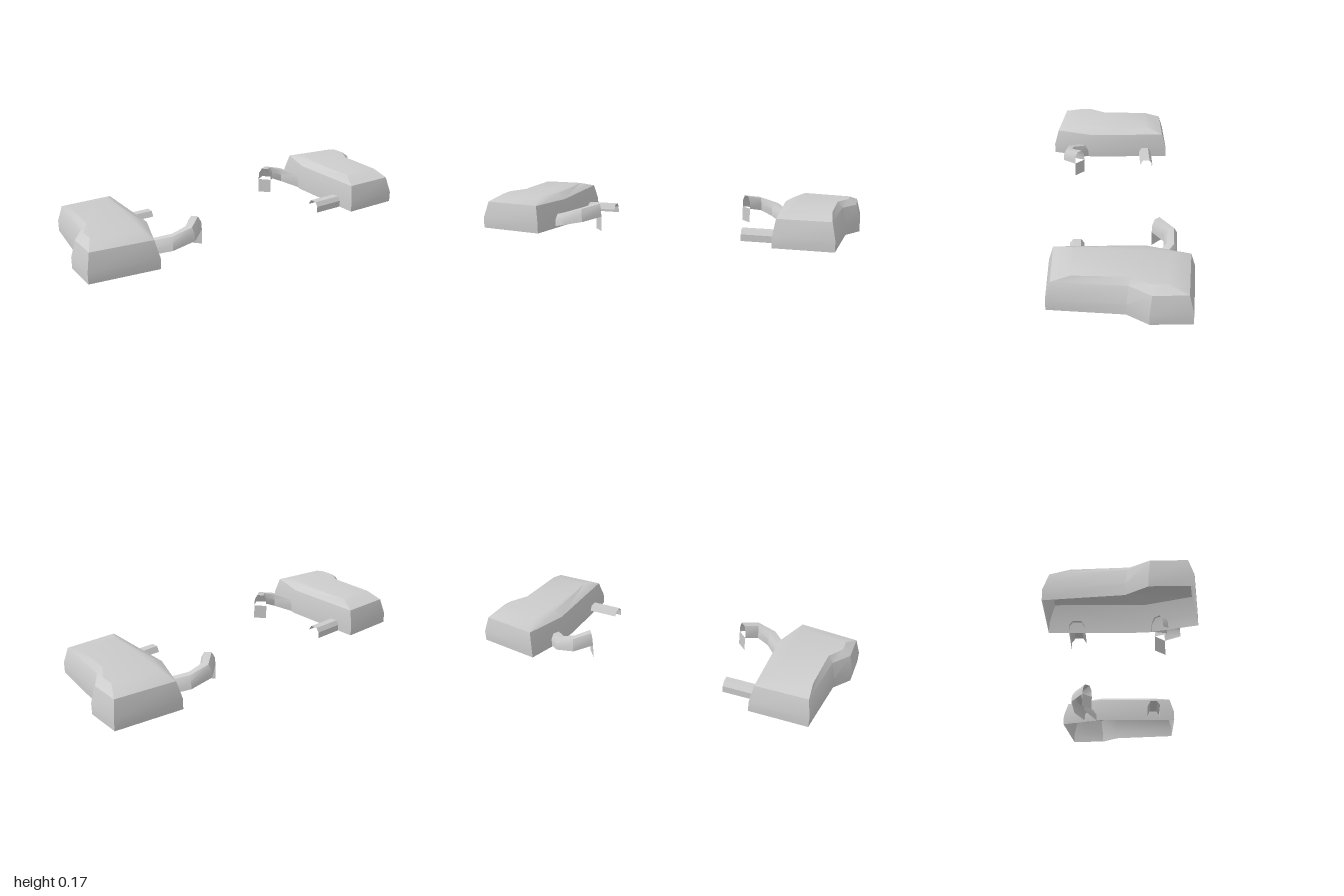
import * as THREE from 'three';
import { toCreasedNormals } from 'three/addons/utils/BufferGeometryUtils.js';

const material = new THREE.MeshStandardMaterial({ color: 0xcccccc, side: THREE.DoubleSide });

function makeMesh(name, triangles) {
  const geometry = new THREE.BufferGeometry();
  geometry.setAttribute('position', new THREE.Float32BufferAttribute(triangles.flat(), 3));
  const mesh = new THREE.Mesh(toCreasedNormals(geometry, 0.57), material);
  mesh.name = name;
  return mesh;
}

// Triangles between neighbouring columns of points
function skin(columns) {
  const out = [];
  for (let i = 0; i < columns.length - 1; i++) {
    const a = columns[i], b = columns[i + 1];
    for (let j = 0; j < a.length - 1; j++) {
      out.push(a[j], b[j], b[j + 1], a[j], b[j + 1], a[j + 1]);
    }
  }
  return out;
}

// Bent shell, open below: base outline, shoulder outline and roof outline as [x, z]
function shell() {
  const base = [[0.585, 0.333], [0.89, 0.333], [0.93, -0.03], [1, -0.13], [1, -0.325], [0.655, -0.37], [0.585, -0.13]];
  const shoulder = [[0.6, 0.308], [0.872, 0.308], [0.907, -0.04], [0.978, -0.14], [0.978, -0.303], [0.672, -0.345], [0.6, -0.13]];
  const roof = [[0.65, 0.215], [0.865, 0.215], [0.88, -0.05], [0.935, -0.14], [0.935, -0.215], [0.695, -0.25], [0.645, -0.12]];
  const columns = base.map(([x, z], i) => [
    [x, 0, z],
    [x, 0.057, z],
    [shoulder[i][0], 0.144, shoulder[i][1]],
    [roof[i][0], 0.173, roof[i][1]],
  ]);
  const triangles = skin([...columns, columns[0]]);
  const flat = roof.map(([x, z]) => new THREE.Vector2(x, -z));
  for (const face of THREE.ShapeUtils.triangulateShape(flat, [])) {
    for (const i of face) triangles.push(columns[i][3]);
  }
  return makeMesh('shell', triangles);
}

// Sweeps an open arch section [side, height] along a path of [x, y, z]
function arch(name, path, section) {
  const columns = path.map(([x, y, z], i) => {
    const a = path[Math.max(i - 1, 0)], b = path[Math.min(i + 1, path.length - 1)];
    const length = Math.hypot(b[0] - a[0], b[2] - a[2]);
    const sx = -(b[2] - a[2]) / length, sz = (b[0] - a[0]) / length;
    return section.map(([s, h]) => [x + sx * s, y + h, z + sz * s]);
  });
  return makeMesh(name, skin(columns));
}

function half(name) {
  const group = new THREE.Group();
  group.name = name;
  group.add(shell());

  // Straight duct with one leg reaching the floor
  group.add(arch('straightDuct', [[0.415, 0, 0.2], [0.6, 0, 0.2]],
    [[0.037, 0], [0.037, 0.035], [0.02, 0.058], [-0.02, 0.058], [-0.037, 0.03]]));

  // Curved duct falling from its raised tip to the shell
  group.add(arch('curvedDuct',
    [[0.37, 0.08, -0.205], [0.44, 0.062, -0.27], [0.53, 0.035, -0.26], [0.62, 0, -0.18]],
    [[0.037, 0], [0.034, 0.04], [0.018, 0.068], [-0.018, 0.068], [-0.034, 0.04], [-0.037, 0]]));

  // Thin plate under the tip of the curved duct
  group.add(makeMesh('tipPlate', skin([
    [[0.345, 0, -0.232], [0.345, 0.08, -0.232]],
    [[0.395, 0, -0.178], [0.395, 0.08, -0.178]],
  ])));
  return group;
}

export function createModel() {
  const model = new THREE.Group();
  model.name = 'pairedShells';
  const left = half('leftHalf');
  const right = half('rightHalf');
  right.rotation.y = Math.PI;
  model.add(left, right);
  return model;
}
